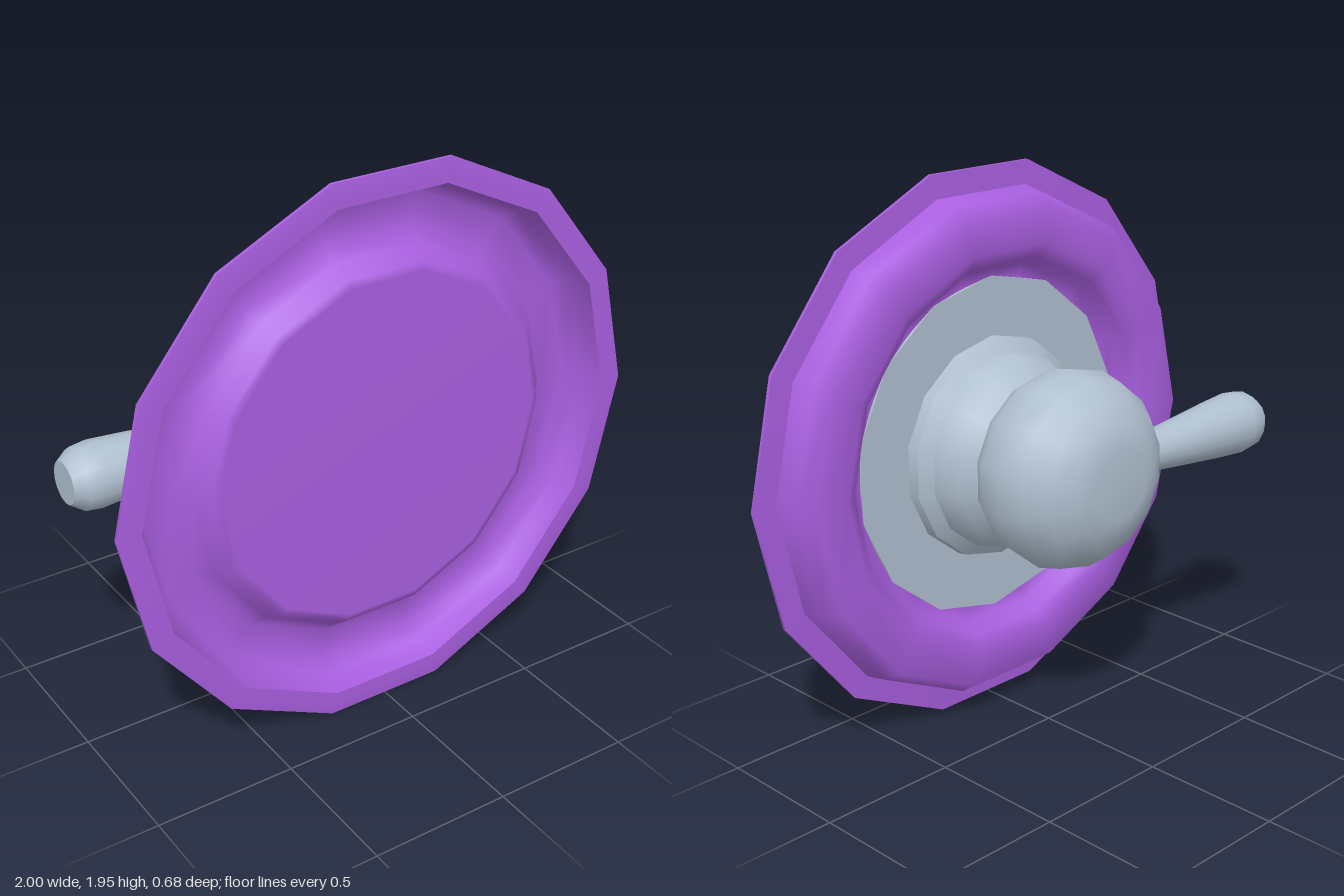
import * as THREE from 'three';
import { mergeGeometries } from 'three/addons/utils/BufferGeometryUtils.js';

const SIDES = 14;
const CENTRE_Y = 0.975;

// Lathe turned about the z axis; each strip of [radius, z] points is smooth, strips meet in a crease
function turned(strips, start = 0) {
  const parts = strips.map((strip) =>
    new THREE.LatheGeometry(strip.map(([r, z]) => new THREE.Vector2(r, z)), SIDES, start));
  return mergeGeometries(parts).rotateX(Math.PI / 2);
}

function addPart(group, name, geometry, material, y = CENTRE_Y, z = 0) {
  const mesh = new THREE.Mesh(geometry, material);
  mesh.name = name;
  mesh.position.set(0, y, z);
  group.add(mesh);
  return mesh;
}

export function createModel() {
  const model = new THREE.Group();
  model.name = 'suctionCup';
  const rubber = new THREE.MeshStandardMaterial({ color: 0xa95fe0 });
  const metal = new THREE.MeshStandardMaterial({ color: 0xb0c0d0 });

  // Rubber cup: hollow ring around a raised centre, with a thin flat lip
  addPart(model, 'cup', turned([
    [[0, 0.29], [0.6, 0.285], [0.65, 0.265], [0.68, 0.21], [0.73, 0.18], [0.86, 0.18], [0.9, 0.235], [0.915, 0.315]],
    [[0.915, 0.315], [1, 0.32]],
    [[1, 0.32], [1, 0.332]],
    [[1, 0.332], [0.965, 0.337], [0.915, 0.337]],
    [[0.915, 0.337], [0.895, 0.25], [0.85, 0.2], [0.74, 0.2], [0.69, 0.245], [0.65, 0.3], [0.62, 0.31], [0, 0.31]],
  ], Math.PI / 2), rubber);

  // Flat plate in the recess behind the cup
  addPart(model, 'backPlate', turned([
    [[0, 0.275], [0.61, 0.275]],
    [[0.61, 0.275], [0.61, 0.295]],
  ]), metal);

  // Rounded hub with a small step at its foot
  addPart(model, 'hub', turned([
    [[0.25, 0.04], [0.275, 0.07], [0.315, 0.11], [0.34, 0.15], [0.352, 0.2]],
    [[0.352, 0.2], [0.395, 0.235]],
    [[0.395, 0.235], [0.4, 0.28]],
  ]), metal);

  // Ball knob, flattened at the rear
  addPart(model, 'knob', turned([
    [[0, -0.338], [0.125, -0.338], [0.2, -0.318], [0.275, -0.268], [0.328, -0.195], [0.35, -0.105],
      [0.335, -0.015], [0.305, 0.035], [0.265, 0.07]],
  ]), metal, 0.98);

  // Side lever, swelling towards its blunt end
  const lever = turned([
    [[0.06, 0.24], [0.066, 0.34], [0.085, 0.52], [0.105, 0.72], [0.115, 0.85], [0.108, 0.91], [0.075, 0.957]],
    [[0.075, 0.957], [0, 0.957]],
  ]).rotateY(-Math.PI / 2);
  addPart(model, 'lever', lever, metal, 0.95, -0.115);

  return model;
}
